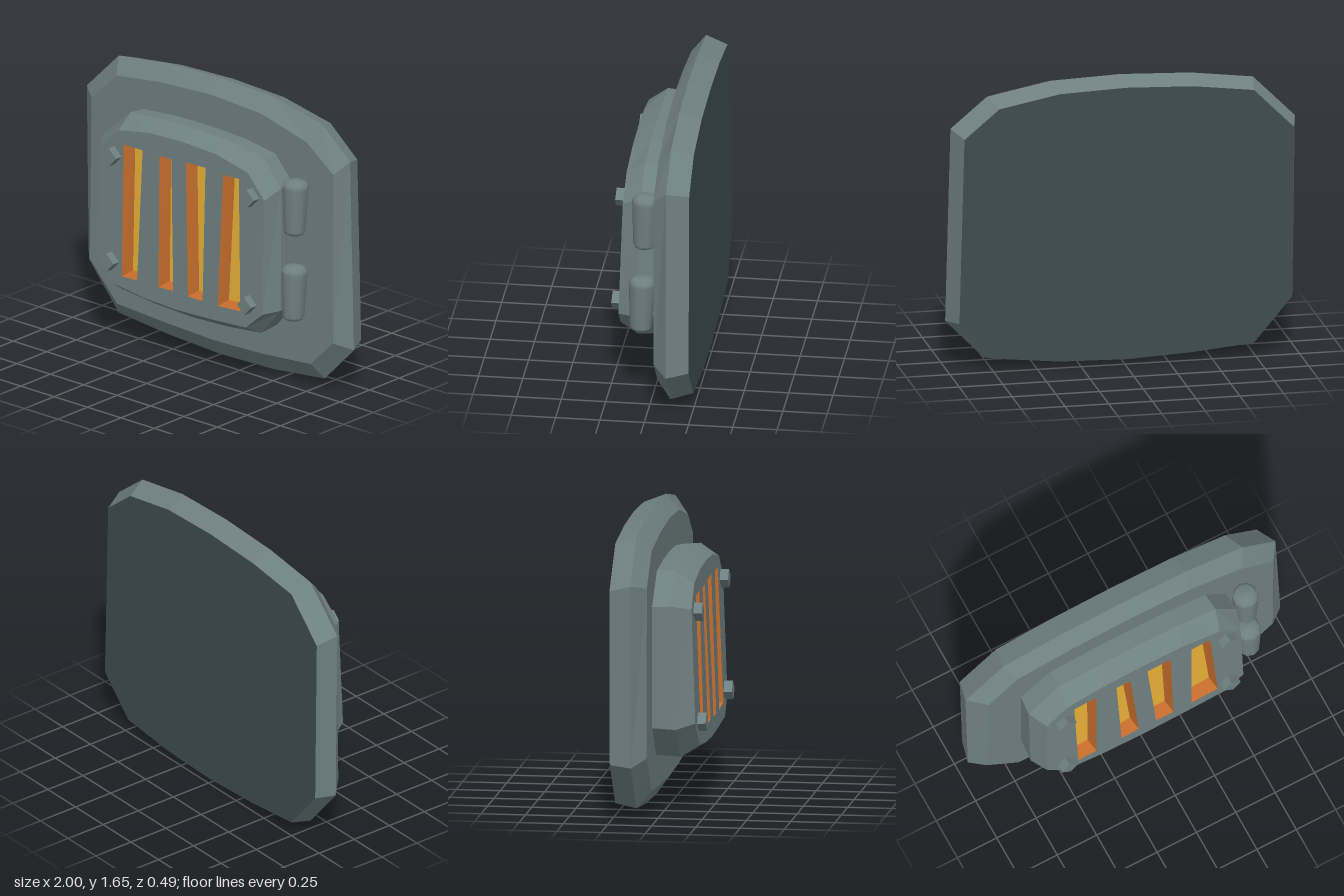
import * as THREE from 'three';

// Outlines run clockwise seen from the front, starting at the upper left corner.
const PLATE_RIM = [[-1, 1.355], [-0.76, 1.595], [-0.4, 1.64], [0, 1.655], [0.4, 1.64], [0.76, 1.57], [0.97, 1.395],
  [1, 0.275], [0.78, 0.05], [0.4, 0.01], [0, 0], [-0.4, 0.02], [-0.76, 0.055], [-0.985, 0.32]];
const PLATE_FACE = [[-0.895, 1.33], [-0.71, 1.51], [-0.365, 1.555], [0, 1.575], [0.38, 1.555], [0.715, 1.47], [0.915, 1.325],
  [0.91, 0.315], [0.745, 0.15], [0.37, 0.12], [0.01, 0.11], [-0.365, 0.125], [-0.705, 0.145], [-0.91, 0.365]];
const DOOR_RIM = [[-0.7, 1.195], [-0.51, 1.37], [-0.26, 1.39], [-0.01, 1.395], [0.25, 1.385], [0.49, 1.35], [0.62, 1.2],
  [0.64, 0.48], [0.5, 0.315], [0.25, 0.29], [-0.02, 0.28], [-0.285, 0.29], [-0.54, 0.315], [-0.7, 0.495]];
const DOOR_FACE = [[-0.64, 1.17], [-0.505, 1.295], [-0.275, 1.335], [-0.045, 1.345], [0.22, 1.335], [0.46, 1.285], [0.59, 1.15],
  [0.595, 0.475], [0.475, 0.37], [0.23, 0.355], [-0.045, 0.345], [-0.285, 0.355], [-0.53, 0.385], [-0.65, 0.525]];
const SLOTS = [
  [[-0.465, 1.22], [-0.323, 1.22], [-0.34, 0.445], [-0.455, 0.44]],
  [[-0.197, 1.22], [-0.108, 1.22], [-0.07, 0.45], [-0.18, 0.445]],
  [[0, 1.23], [0.147, 1.235], [0.15, 0.445], [0.04, 0.445]],
  [[0.28, 1.225], [0.397, 1.232], [0.432, 0.455], [0.263, 0.445]],
];

// The door leans back slightly towards its top.
const TILT = 0.035;
const leaning = (z) => (y) => z - TILT * (y - 0.85);
const flat = (z) => () => z;
const ring = (outline, depth) => outline.map(([x, y]) => [x, y, depth(y)]);
const scaled = (outline, s, dx = 0, dy = 0) => outline.map(([x, y]) => [x * s + dx, 0.83 + dy + (y - 0.83) * s]);

// Triangles joining consecutive rings; outward when rings go from back to front.
function loft(...rings) {
  const out = [];
  for (let r = 0; r + 1 < rings.length; r++) {
    const a = rings[r], b = rings[r + 1];
    a.forEach((p, i) => {
      const j = (i + 1) % a.length;
      out.push(p, b[i], b[j], p, b[j], a[j]);
    });
  }
  return out;
}

// Flat cap over a ring, with optional holes, facing front (+1) or back (-1).
function cap(outer, holes, facing) {
  const v2 = (r) => r.map((p) => new THREE.Vector2(p[0], p[1]));
  const points = [outer, ...holes].flat();
  const out = [];
  for (const [a, b, c] of THREE.ShapeUtils.triangulateShape(v2(outer), holes.map(v2))) {
    const [p, q, s] = [points[a], points[b], points[c]];
    const area = (q[0] - p[0]) * (s[1] - p[1]) - (q[1] - p[1]) * (s[0] - p[0]);
    out.push(...(area * facing > 0 ? [p, q, s] : [p, s, q]));
  }
  return out;
}

function faceted(points) {
  const geometry = new THREE.BufferGeometry();
  geometry.setAttribute('position', new THREE.Float32BufferAttribute(points.flat(), 3));
  geometry.computeVertexNormals();
  return geometry;
}

export function createModel() {
  const group = new THREE.Group();
  group.name = 'furnaceDoor';
  const material = (name, color) => Object.assign(new THREE.MeshStandardMaterial({ color }), { name });
  const iron = material('slate iron', 0x6f8082);
  const darkIron = material('dark iron', 0x3f4c4f);
  const ember = material('ember orange', 0xc46c2b);
  const glow = material('glowing yellow', 0xe7af37);
  const add = (name, geometry, mat) => {
    const mesh = new THREE.Mesh(geometry, mat);
    mesh.name = name;
    group.add(mesh);
    return mesh;
  };

  // Wall plate with a bevelled rim and a dark back
  const plateBack = ring(scaled(PLATE_RIM, 0.957, -0.013, -0.01), flat(-0.243));
  const plateFront = ring(PLATE_FACE, flat(-0.042));
  add('wallPlate', faceted([
    ...loft(plateBack, ring(PLATE_RIM, flat(-0.12)), plateFront),
    ...cap(plateFront, [], 1),
  ]), iron);
  add('plateBack', faceted(cap(plateBack, [], -1)), darkIron);

  // Door with slots cut through its face
  const doorFront = ring(DOOR_FACE, leaning(0.185));
  const slotMouths = SLOTS.map((s) => ring(s, leaning(0.185)));
  add('door', faceted([
    ...loft(ring(scaled(DOOR_RIM, 0.985), flat(-0.045)), ring(DOOR_RIM, leaning(0.08)), doorFront),
    ...cap(doorFront, slotMouths, 1),
  ]), iron);

  // Slot walls narrowing to a glowing floor
  const inset = [[0.021, -0.023], [-0.021, -0.023], [-0.016, 0.019], [0.017, 0.019]];
  SLOTS.forEach((slot, i) => {
    const floor = ring(slot.map(([x, y], k) => [x + inset[k][0], y + inset[k][1]]), leaning(0.11));
    add('slotWalls', faceted(loft(slotMouths[i], floor)), ember);
    add('slotGlow', faceted(cap(floor, [], 1)), glow);
  });

  // Square bolts standing on their corners
  for (const [x, y] of [[-0.53, 1.14], [0.5, 1.15], [-0.53, 0.515], [0.5, 0.515]]) {
    const bolt = add('bolt', new THREE.BoxGeometry(0.075, 0.075, 0.1), iron);
    bolt.position.set(x, y, leaning(0.183)(y));
    bolt.rotation.set(-TILT, 0, Math.PI / 4 + 0.05);
  }

  // Tapered hinge barrels with rounded ends
  const barrel = [[0, -0.162], [0.042, -0.16], [0.056, -0.152], [0.062, -0.138],
    [0.076, 0.115], [0.073, 0.138], [0.052, 0.155], [0, 0.162]].map(([r, y]) => new THREE.Vector2(r, y));
  for (const [x, y, z] of [[0.697, 1.1, 0.035], [0.704, 0.597, 0.053]]) {
    const hinge = add('hinge', new THREE.LatheGeometry(barrel, 10), iron);
    hinge.position.set(x, y, z);
    hinge.rotation.x = -TILT;
  }
  return group;
}
